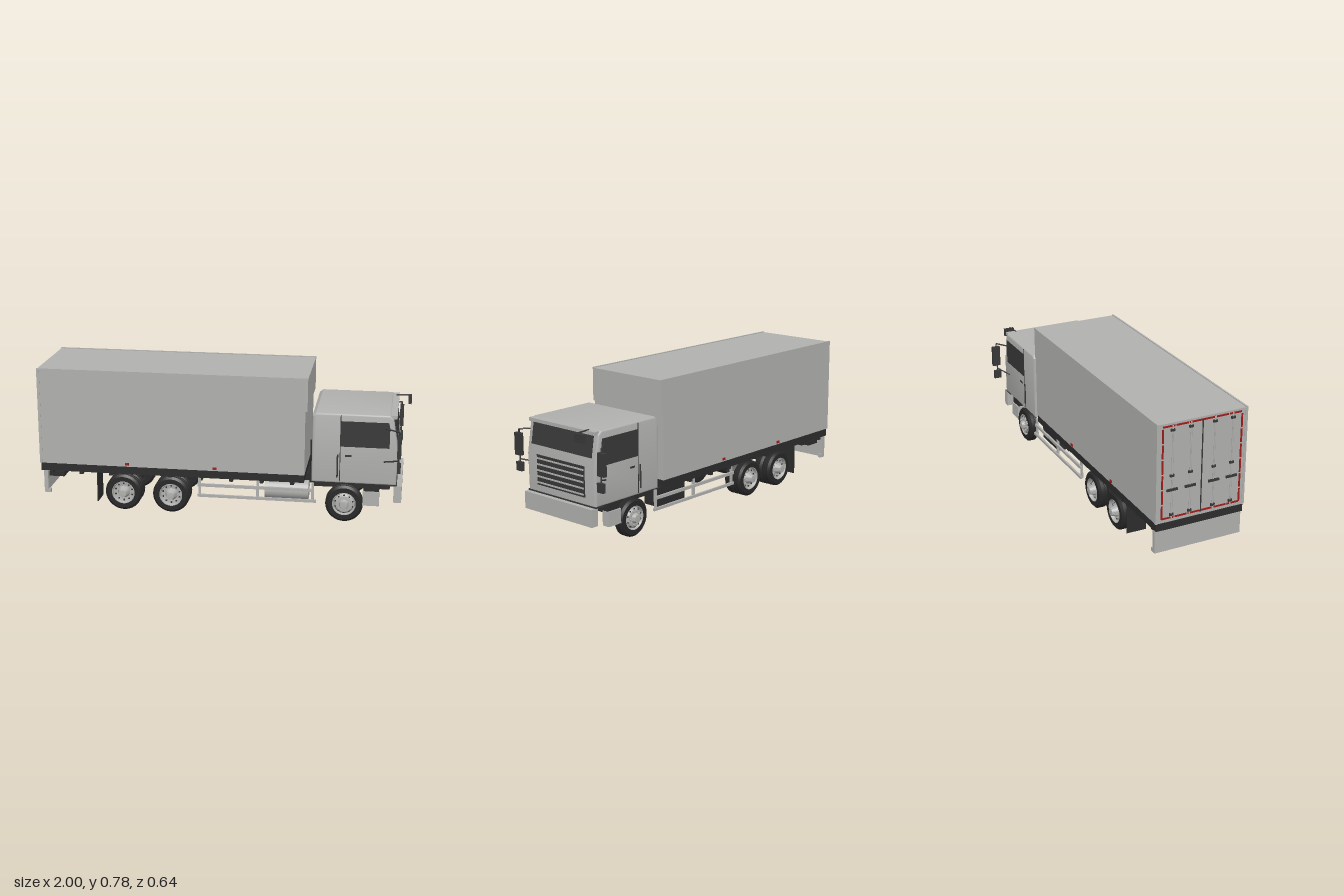
import * as THREE from 'three';
import { toCreasedNormals } from 'three/addons/utils/BufferGeometryUtils.js';

const mat = (name, color) => Object.assign(new THREE.MeshStandardMaterial({ color }), { name });

export function createModel() {
  const body = mat('light grey paint', 0xb0b0ae);
  const dark = mat('dark glass and trim', 0x383838);
  const frame = mat('chassis black', 0x2c2c2c);
  const rubber = mat('tyre rubber', 0x272727);
  const red = mat('red reflector', 0xa01c18);
  const truck = new THREE.Group();
  truck.name = 'boxTruck';

  const add = (name, geo, m, parent = truck) => {
    const mesh = new THREE.Mesh(geo, m);
    mesh.name = name;
    parent.add(mesh);
    return mesh;
  };
  // Box given by its limits along each axis
  const block = (name, m, x0, x1, y0, y1, z0, z1) => {
    const mesh = add(name, new THREE.BoxGeometry(x1 - x0, y1 - y0, Math.abs(z1 - z0)), m);
    mesh.position.set((x0 + x1) / 2, (y0 + y1) / 2, (z0 + z1) / 2);
    return mesh;
  };
  // Straight rod between two points
  const rod = (name, m, a, b, r = 0.004) => {
    const p = new THREE.Vector3(...a), q = new THREE.Vector3(...b);
    const mesh = add(name, new THREE.CylinderGeometry(r, r, p.distanceTo(q), 8), m);
    mesh.position.copy(p).lerp(q, 0.5);
    mesh.quaternion.setFromUnitVectors(new THREE.Vector3(0, 1, 0), q.sub(p).normalize());
    return mesh;
  };

  // Cargo box with an upper front overhang and a dark floor frame
  block('cargoBox', body, -0.988, 0.455, 0.25, 0.776, -0.247, 0.247);
  block('cargoFrontOverhang', body, 0.455, 0.466, 0.6, 0.776, -0.247, 0.247);
  block('cargoFloor', frame, -0.985, 0.453, 0.207, 0.25, -0.244, 0.244);
  for (const s of [1, -1]) {
    block('roofEdge', body, -0.99, 0.467, 0.768, 0.78, s * 0.24, s * 0.249);
    block('cornerPost', body, -0.99, -0.975, 0.25, 0.776, s * 0.236, s * 0.249);
    for (const x of [-0.505, -0.025])
      block('sideMarker', red, x - 0.01, x + 0.01, 0.258, 0.271, s * 0.247, s * 0.253);
  }

  // Rear doors: centre gap, lock bars with handles, and red reflective outline
  block('doorGap', dark, -0.99, -0.987, 0.265, 0.765, -0.003, 0.003);
  for (const z of [-0.165, -0.065, 0.065, 0.165]) {
    rod('lockBar', body, [-0.993, 0.26, z], [-0.993, 0.765, z], 0.004);
    for (const y of [0.29, 0.5, 0.74]) block('barBracket', dark, -0.997, -0.987, y - 0.006, y + 0.006, z - 0.011, z + 0.011);
    block('lockHandle', dark, -1, -0.992, 0.42, 0.432, z - 0.03, z + 0.03);
  }
  for (let i = 0; i < 6; i++) {
    const y = 0.272 + i * 0.081, z = -0.217 + i * 0.073;
    for (const s of [1, -1])
      block('reflectorUpright', red, -0.991, -0.987, y, y + 0.072, s * 0.212, s * 0.221);
    for (const h of [0.268, 0.756])
      block('reflectorCross', red, -0.991, -0.987, h, h + 0.009, z, z + 0.066);
  }

  // Cab shell: side profile extruded across the width
  const side = new THREE.Shape([
    [0.492, 0.217], [0.938, 0.217], [0.942, 0.41], [0.914, 0.578], [0.895, 0.597], [0.51, 0.597], [0.492, 0.582],
  ].map(p => new THREE.Vector2(...p)));
  const shell = new THREE.ExtrudeGeometry(side, {
    depth: 0.466, bevelEnabled: true, bevelThickness: 0.012, bevelSize: 0.01, bevelOffset: -0.01, bevelSegments: 3,
  });
  shell.translate(0, 0, -0.233);
  add('cab', toCreasedNormals(shell, 0.6), body);
  block('sunVisor', body, 0.9, 0.932, 0.577, 0.595, -0.235, 0.235);
  block('cabSill', dark, 0.88, 0.942, 0.212, 0.22, -0.243, 0.243);
  block('bumper', body, 0.926, 0.968, 0.122, 0.213, -0.243, 0.243);

  // Windscreen leaning with the cab front
  const lean = Math.atan2(0.028, 0.168);
  const screen = add('windscreen', new THREE.BoxGeometry(0.006, 0.114, 0.428), dark);
  screen.position.set(0.926, 0.519, 0);
  screen.rotation.z = lean;

  // Grille: dark panel crossed by light slats
  block('grille', dark, 0.936, 0.945, 0.257, 0.415, -0.17, 0.17);
  for (let i = 0; i < 5; i++) {
    const y = 0.397 - i * 0.0315;
    block('grilleSlat', body, 0.943, 0.949, y - 0.004, y + 0.004, -0.167, 0.167);
  }

  // Door glass as a thin plate
  const glass = new THREE.Shape([[0.643, 0.42], [0.897, 0.42], [0.897, 0.53], [0.89, 0.558], [0.643, 0.558]]
    .map(p => new THREE.Vector2(...p)));
  for (const s of [1, -1]) {
    const pane = add('sideWindow', new THREE.ExtrudeGeometry(glass, { depth: 0.004, bevelEnabled: false }), dark);
    pane.position.z = s > 0 ? 0.243 : -0.247;
    block('doorSeam', dark, 0.639, 0.643, 0.225, 0.59, s * 0.243, s * 0.2465);
    block('doorHandle', dark, 0.668, 0.7, 0.366, 0.375, s * 0.243, s * 0.249);
    rod('grabRail', dark, [0.628, 0.25, s * 0.248], [0.628, 0.375, s * 0.248], 0.004);

    // Side mirrors and their arms
    block('mainMirror', dark, 0.938, 0.959, 0.39, 0.507, s * 0.276, s * 0.321);
    block('kerbMirror', dark, 0.94, 0.959, 0.308, 0.355, s * 0.272, s * 0.313);
    rod('upperMirrorArm', dark, [0.87, 0.527, s * 0.243], [0.948, 0.527, s * 0.295]);
    rod('upperMirrorStem', dark, [0.948, 0.527, s * 0.295], [0.948, 0.5, s * 0.297]);
    rod('lowerMirrorArm', dark, [0.87, 0.345, s * 0.243], [0.948, 0.37, s * 0.293]);
    rod('lowerMirrorStem', dark, [0.948, 0.395, s * 0.293], [0.948, 0.345, s * 0.293]);

    // Step box ahead of the front wheel
    block('cabStep', body, 0.765, 0.852, 0.097, 0.175, s * 0.2, s * 0.243);
    block('stepBracket', frame, 0.77, 0.85, 0.165, 0.215, s * 0.1, s * 0.235);
  }
  block('frontMirror', dark, 0.982, 1, 0.55, 0.593, -0.223, -0.165);
  rod('frontMirrorArm', dark, [0.915, 0.596, -0.178], [0.99, 0.597, -0.187]);

  // Ladder chassis
  for (const s of [1, -1]) {
    block('chassisRail', frame, -0.95, 0.905, 0.16, 0.212, s * 0.07, s * 0.1);
    rod('airLine', frame, [0.478, 0.2, s * 0.087], [0.478, 0.4, s * 0.087], 0.006);
    block('cabMount', frame, 0.5, 0.905, 0.175, 0.218, s * 0.1, s * 0.19);
  }
  for (const x of [-0.93, -0.72, -0.53, -0.4, -0.267, -0.05, 0.2, 0.47, 0.668, 0.88])
    block('crossMember', frame, x - 0.018, x + 0.018, 0.162, 0.2, -0.08, 0.08);
  for (let i = 0; i < 9; i++) {
    const x = -0.93 + i * 0.165;
    block('floorBearer', frame, x - 0.01, x + 0.01, 0.19, 0.21, -0.235, 0.235);
  }
  block('engine', frame, 0.58, 0.87, 0.135, 0.216, -0.065, 0.065);

  // Fuel tank on one side, battery case on the other
  const tank = add('fuelTank', new THREE.CylinderGeometry(0.052, 0.052, 0.235, 32), body);
  tank.rotation.z = Math.PI / 2;
  tank.position.set(0.357, 0.143, 0.168);
  block('batteryCase', frame, 0.25, 0.46, 0.1, 0.2, -0.21, -0.115);

  // Side guards, mudflaps and rear underrun panel
  for (const s of [1, -1]) {
    block('guardTopRail', body, -0.12, 0.505, 0.157, 0.173, s * 0.232, s * 0.243);
    block('guardLowRail', body, -0.12, 0.52, 0.098, 0.113, s * 0.232, s * 0.243);
    for (const x of [-0.11, 0.205, 0.5])
      block('guardPost', body, x - 0.007, x + 0.007, 0.1, 0.207, s * 0.225, s * 0.236);
    block('mudflap', frame, -0.675, -0.67, 0.042, 0.207, s * 0.132, s * 0.243);
    block('underrunPost', body, -0.965, -0.95, 0.08, 0.207, s * 0.225, s * 0.243);
    block('underrunFoot', body, -0.965, -0.937, 0.08, 0.1, s * 0.225, s * 0.243);
  }
  block('underrunPanel', body, -0.972, -0.962, 0.08, 0.205, -0.243, 0.243);
  block('rearBracket', frame, -0.955, -0.87, 0.16, 0.185, -0.2, 0.2);

  // Wheels: tyre, dished rim, hub and lug nuts, outer side facing local +z
  const lathe = pts => toCreasedNormals(
    new THREE.LatheGeometry(pts.map(p => new THREE.Vector2(...p)), 40).rotateX(Math.PI / 2), 0.6);
  const tyreGeo = lathe([
    [0, -0.024], [0.058, -0.024], [0.062, -0.027], [0.088, -0.027], [0.1, -0.016], [0.1, -0.005], [0.097, -0.004],
    [0.097, 0.004], [0.1, 0.005], [0.1, 0.016], [0.088, 0.027], [0.062, 0.027], [0.058, 0.02],
  ]);
  const rearRim = lathe([[0.063, 0.0275], [0.06, 0.028], [0.055, 0.012], [0.034, 0.008], [0.026, 0.028], [0.02, 0.048], [0, 0.05]]);
  const frontRim = lathe([[0.063, 0.0275], [0.06, 0.028], [0.055, 0.016], [0.044, 0.028], [0.026, 0.03], [0.02, 0.048], [0, 0.05]]);
  const nutGeo = new THREE.CylinderGeometry(0.0035, 0.0035, 0.01, 6).rotateX(Math.PI / 2);
  const holeGeo = new THREE.CylinderGeometry(0.005, 0.005, 0.004, 10).rotateX(Math.PI / 2);

  const wheel = (x, s, front) => {
    const g = new THREE.Group();
    g.name = front ? 'frontWheel' : 'rearWheel';
    g.position.set(x, 0.1, s * 0.216);
    if (s < 0) g.rotation.y = Math.PI;
    add('tyre', tyreGeo, rubber, g);
    add('rim', front ? frontRim : rearRim, body, g);
    if (!front) add('innerTyre', tyreGeo, rubber, g).position.z = -0.057;
    for (let i = 0; i < 10; i++) {
      const a = i * Math.PI / 5, b = a + Math.PI / 10;
      const r = front ? 0.035 : 0.036;
      add('lugNut', nutGeo, body, g).position.set(r * Math.cos(a), r * Math.sin(a), front ? 0.031 : 0.012);
      add('rimHole', holeGeo, dark, g).position.set(0.047 * Math.cos(b), 0.047 * Math.sin(b), front ? 0.024 : 0.0105);
    }
    truck.add(g);
  };
  for (const s of [1, -1]) {
    wheel(0.668, s, true);
    wheel(-0.267, s, false);
    wheel(-0.53, s, false);
  }
  for (const x of [0.668, -0.267, -0.53])
    rod('axle', frame, [x, 0.145, -0.15], [x, 0.145, 0.15], 0.022);

  return truck;
}
